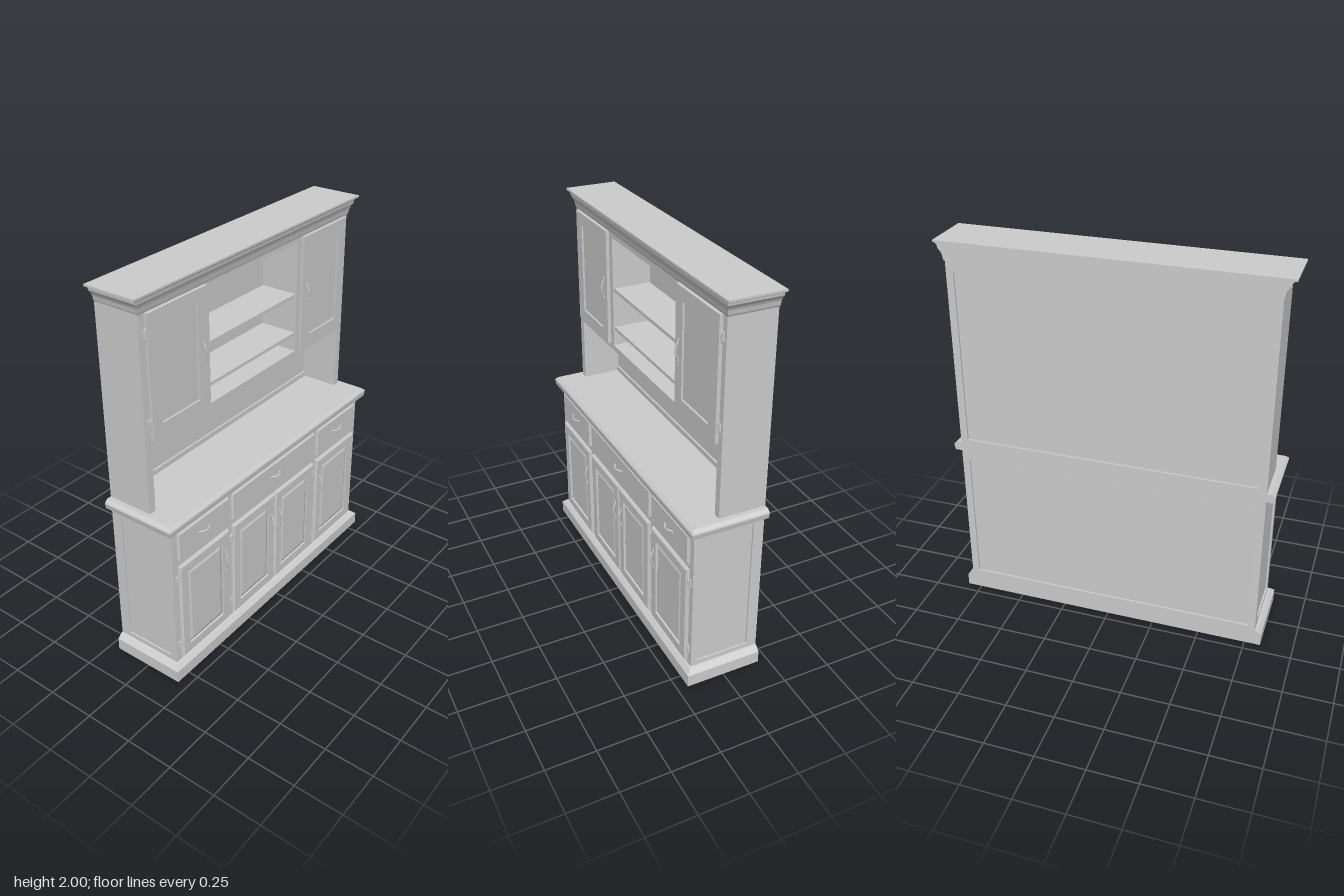
import * as THREE from 'three';

const mat = new THREE.MeshStandardMaterial({ color: 0xcccccc, flatShading: true });
const metal = new THREE.MeshStandardMaterial({ color: 0xcccccc });

// Closed solid through rectangular rings [x0, x1, y0, y1, z], stacked towards +z
function loft(rings) {
  const pos = [];
  const pts = rings.map(([x0, x1, y0, y1, z]) => [[x0, y0, z], [x1, y0, z], [x1, y1, z], [x0, y1, z]]);
  const quad = (a, b, c, d) => pos.push(...a, ...b, ...c, ...a, ...c, ...d);
  for (let i = 0; i + 1 < pts.length; i++) {
    for (let j = 0; j < 4; j++) {
      const k = (j + 1) % 4;
      quad(pts[i][j], pts[i][k], pts[i + 1][k], pts[i + 1][j]);
    }
  }
  const first = pts[0], last = pts[pts.length - 1];
  quad(first[3], first[2], first[1], first[0]);
  quad(last[0], last[1], last[2], last[3]);
  const g = new THREE.BufferGeometry();
  g.setAttribute('position', new THREE.Float32BufferAttribute(pos, 3));
  g.computeVertexNormals();
  return g;
}

export function createModel() {
  const model = new THREE.Group();
  model.name = 'dresser';

  const add = (name, geometry, parent = model, material = mat) => {
    const m = new THREE.Mesh(geometry, material);
    m.name = name;
    parent.add(m);
    return m;
  };
  const box = (name, x0, x1, y0, y1, z0, z1, parent = model) => {
    const m = add(name, new THREE.BoxGeometry(x1 - x0, y1 - y0, z1 - z0), parent);
    m.position.set((x0 + x1) / 2, (y0 + y1) / 2, (z0 + z1) / 2);
    return m;
  };
  // Panelled board facing +z; steps are [insetX, depth, insetY]
  const panel = (name, x0, x1, y0, y1, steps, parent = model) =>
    add(name, loft(steps.map(([ix, z, iy = ix]) => [x0 + ix, x1 - ix, y0 + iy, y1 - iy, z])), parent);
  // Moulding with a flat back at z = -0.2; steps are [y, overhangX, overhangZ]
  const moulding = (name, x0, x1, zFront, steps) =>
    add(name, loft(steps.map(([y, ox, oz]) => [x0 - ox, x1 + ox, -zFront - oz, 0.2, y])).rotateX(-Math.PI / 2));

  // Arched pull with two round feet, running along y
  const handle = (name, x, y, z, out, horizontal, parent) => {
    const g = new THREE.Group();
    g.name = name;
    const curve = new THREE.CatmullRomCurve3([
      [-0.056, 0.003], [-0.043, 0.003], [-0.026, out * 0.75], [0, out], [0.026, out * 0.75], [0.043, 0.003], [0.056, 0.003],
    ].map(([v, w]) => new THREE.Vector3(0, v * (horizontal ? 0.72 : 1), w)));
    add('pull', new THREE.TubeGeometry(curve, 24, 0.0045, 8), g, metal);
    for (const s of [-1, 1]) {
      const foot = add('pullFoot', new THREE.SphereGeometry(0.007, 10, 6), g, metal);
      foot.scale.set(0.8, 1.5, 0.6);
      foot.position.set(0, s * (horizontal ? 0.036 : 0.05), 0.002);
    }
    if (horizontal) g.rotation.z = Math.PI / 2;
    g.position.set(x, y, z);
    parent.add(g);
  };
  // Barrel hinge with a small leaf and finials
  const hinge = (x, y, z, parent) => {
    const g = new THREE.Group();
    g.name = 'hinge';
    add('hingeBarrel', new THREE.CylinderGeometry(0.005, 0.005, 0.045, 10), g, metal).position.z = 0.008;
    for (const s of [-1, 1]) {
      const tip = add('hingeFinial', new THREE.ConeGeometry(0.005, 0.01, 10), g, metal);
      tip.position.set(0, s * 0.0275, 0.008);
      if (s < 0) tip.rotation.x = Math.PI;
    }
    box('hingeLeaf', -0.011, 0.011, -0.02, 0.02, 0, 0.008, g);
    g.position.set(x, y, z);
    parent.add(g);
  };

  // Base cabinet
  const L = -0.8, R = 0.795;
  moulding('plinth', L, R, 0.165, [[0, 0.033, 0.031], [0.065, 0.033, 0.031], [0.085, 0.012, 0.01], [0.09, 0, 0]]);
  box('baseCarcass', L + 0.012, R - 0.012, 0.05, 0.885, -0.18, 0.165);
  const sideSteps = [[0, 0], [0, 0.012], [0.035, 0.012, 0.035], [0.035, 0.003, 0.035]];
  const leftSide = panel('baseLeftSide', -0.165, 0.18, 0.08, 0.885, sideSteps);
  leftSide.rotation.y = Math.PI / 2;
  leftSide.position.x = R - 0.012;
  const rightSide = panel('baseRightSide', -0.18, 0.165, 0.08, 0.885, sideSteps);
  rightSide.rotation.y = -Math.PI / 2;
  rightSide.position.x = L + 0.012;
  moulding('countertop', L, R, 0.165, [[0.878, 0.036, 0.03], [0.905, 0.042, 0.033], [0.912, 0.04, 0.031], [0.926, 0.024, 0.016]]);

  // Framed back panels
  for (const [name, y0, y1, z] of [['baseBack', 0.05, 0.89, -0.18], ['hutchBack', 0.885, 1.915, -0.165]]) {
    const d = z + 0.2;
    const back = panel(name, -R, -L, y0, y1, [[0, 0], [0, d], [0.038, d, 0.062], [0.038, d - 0.01, 0.062]]);
    back.rotation.y = Math.PI;
    back.position.z = z;
  }

  // Drawers
  for (const [x0, x1] of [[-0.767, -0.39], [-0.362, 0.358], [0.385, 0.762]]) {
    const g = new THREE.Group();
    g.name = 'drawer';
    panel('drawerFront', x0, x1, 0.695, 0.85, [[0, 0], [0, 0.008], [0.007, 0.014]], g).position.z = 0.165;
    handle('drawerHandle', (x0 + x1) / 2, 0.778, 0.179, 0.017, true, g);
    model.add(g);
  }

  // Base doors with raised fields; hingeSide -1 or 1
  const raised = [[0, 0], [0, 0.01], [0.008, 0.017], [0.055, 0.017], [0.055, 0.005], [0.076, 0.014]];
  for (const [x0, x1, hingeSide] of [[-0.767, -0.392, -1], [-0.362, -0.004, -1], [0, 0.355, 1], [0.385, 0.762, 1]]) {
    const g = new THREE.Group();
    g.name = 'baseDoor';
    panel('baseDoorPanel', x0, x1, 0.105, 0.66, raised, g).position.z = 0.165;
    const hx = hingeSide < 0 ? x0 - 0.006 : x1 + 0.006;
    for (const y of [0.185, 0.585]) hinge(hx, y, 0.165, g);
    handle('baseDoorHandle', hingeSide < 0 ? x1 - 0.033 : x0 + 0.033, 0.492, 0.182, 0.015, false, g);
    model.add(g);
  }

  // Hutch carcass
  const zb = -0.167, zf = 0.042;
  box('hutchRightSide', L, -0.76, 0.92, 1.915, zb, zf);
  box('hutchLeftSide', 0.757, R, 0.92, 1.915, zb, zf);
  box('hutchBottom', -0.765, 0.76, 1.27, 1.3, zb, zf);
  box('hutchTop', -0.765, 0.76, 1.88, 1.915, zb, zf);
  box('rightDivider', -0.378, -0.343, 1.295, 1.885, zb, zf);
  box('leftDivider', 0.35, 0.383, 1.295, 1.885, zb, zf);
  box('upstand', -0.765, 0.76, 0.92, 0.953, zb, -0.155);
  for (const [y0, y1] of [[1.385, 1.402], [1.595, 1.613]]) box('shelf', -0.345, 0.352, y0, y1, zb, 0.035);

  // Hutch doors with recessed panels
  const recessed = [[0, 0], [0, 0.018], [0.065, 0.018], [0.065, 0.008]];
  for (const [x0, x1, s] of [[-0.762, -0.376, -1], [0.381, 0.764, 1]]) {
    const g = new THREE.Group();
    g.name = 'hutchDoor';
    panel('hutchDoorPanel', x0, x1, 1.3, 1.905, recessed, g).position.z = zf;
    for (const y of [1.385, 1.81]) hinge(s < 0 ? x0 - 0.006 : x1 + 0.006, y, zf, g);
    handle('hutchDoorHandle', s < 0 ? x1 - 0.033 : x0 + 0.033, 1.598, zf + 0.018, 0.015, false, g);
    model.add(g);
  }

  // Crown moulding
  moulding('crown', L + 0.003, R + 0.003, zf, [
    [1.905, 0.001, 0.001], [1.915, 0.006, 0.004], [1.925, 0.008, 0.006], [1.935, 0.01, 0.008], [1.948, 0.016, 0.012],
    [1.958, 0.025, 0.017], [1.965, 0.03, 0.019], [1.978, 0.032, 0.021], [1.985, 0.038, 0.026],
    [1.99, 0.046, 0.03], [1.99, 0.054, 0.034], [2, 0.054, 0.034],
  ]);

  return model;
}
